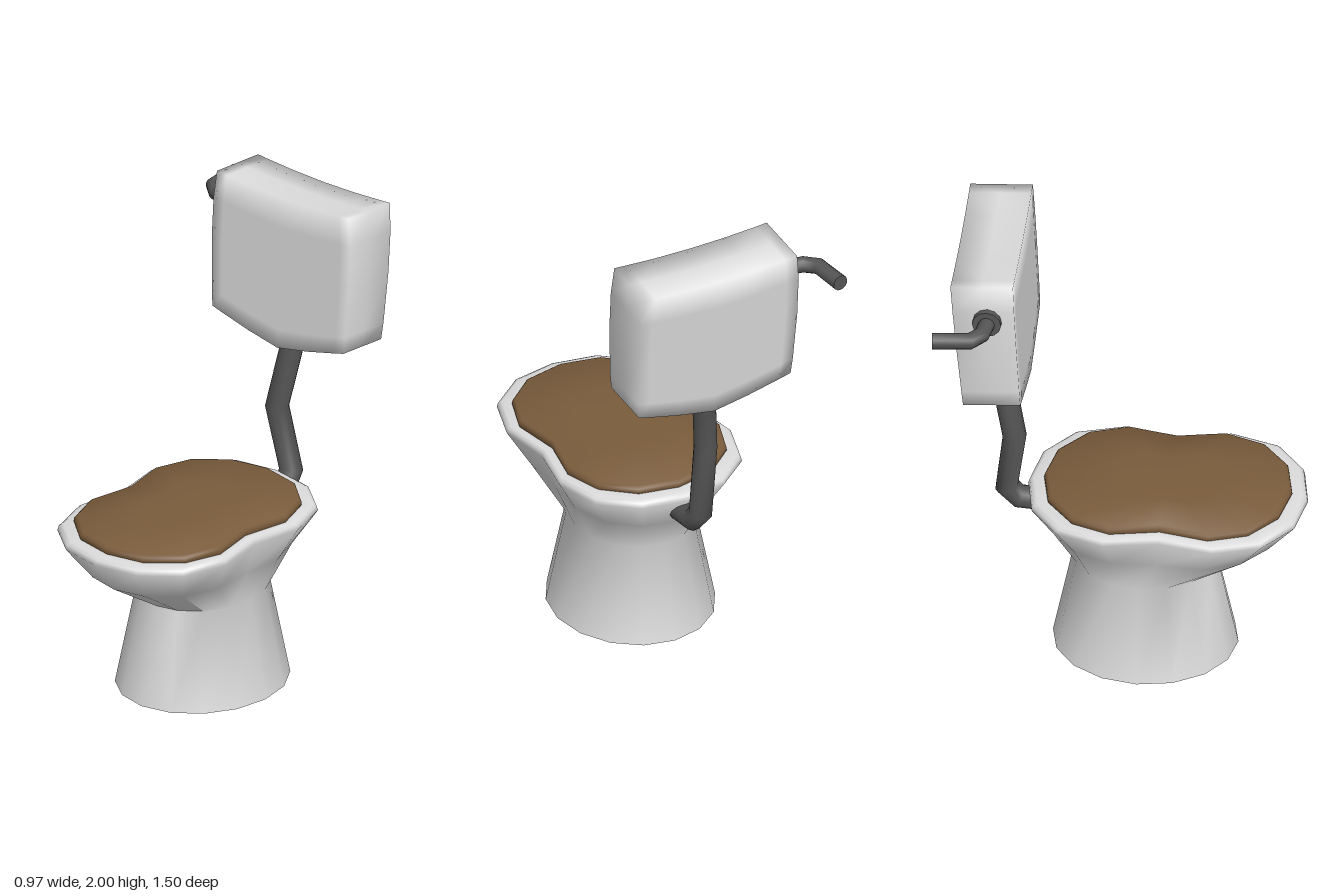
import * as THREE from 'three';
import { mergeVertices, toCreasedNormals } from 'three/addons/utils/BufferGeometryUtils.js';

// Skins a stack of equal-length rings of Vector3; rings run counter-clockwise seen from the far end
function skin(rings, capStart, capEnd) {
  const n = rings[0].length, pos = [], idx = [];
  for (const ring of rings) for (const p of ring) pos.push(p.x, p.y, p.z);
  for (let r = 0; r < rings.length - 1; r++) {
    for (let i = 0; i < n; i++) {
      const a = r * n + i, b = r * n + (i + 1) % n;
      idx.push(a, b, b + n, a, b + n, a + n);
    }
  }
  const cap = (r, flip) => {
    const c = new THREE.Vector3();
    rings[r].forEach((p) => c.addScaledVector(p, 1 / n));
    const k = pos.length / 3;
    pos.push(c.x, c.y, c.z);
    for (let i = 0; i < n; i++) {
      const a = r * n + i, b = r * n + (i + 1) % n;
      idx.push(k, flip ? b : a, flip ? a : b);
    }
  };
  if (capStart) cap(0, true);
  if (capEnd) cap(rings.length - 1, false);
  const geo = new THREE.BufferGeometry();
  geo.setAttribute('position', new THREE.Float32BufferAttribute(pos, 3));
  geo.setIndex(idx);
  return geo;
}

// Pipe with mitred bends through the given points
function pipe(points, radius, sides = 12) {
  const pts = points.map((p) => new THREE.Vector3(...p));
  const dirs = pts.slice(1).map((p, i) => p.clone().sub(pts[i]).normalize());
  const side = new THREE.Vector3(0.3, 0.1, 1);
  const rings = pts.map((p, i) => {
    const d0 = dirs[Math.max(i - 1, 0)], d1 = dirs[Math.min(i, dirs.length - 1)];
    const t = d0.clone().add(d1).normalize();
    side.addScaledVector(t, -side.dot(t)).normalize();
    const up = t.clone().cross(side);
    return Array.from({ length: sides }, (_, k) => {
      const a = (k / sides) * Math.PI * 2;
      return p.clone().addScaledVector(side, Math.cos(a) * radius).addScaledVector(up, Math.sin(a) * radius);
    });
  });
  return toCreasedNormals(skin(rings, true, true), 1.1);
}

// Waisted 16-point outline: one quarter, mirrored to the rest
const BOWL = [[0, 0.575], [0.19, 0.54], [0.34, 0.42], [0.40, 0.225], [0.36, 0]];
const SEAT = [[0, 0.51], [0.17, 0.475], [0.30, 0.365], [0.355, 0.205], [0.315, 0]];
const CX = 0.08, CZ = 0.165;
function waisted(quarter, i) {
  const q = i % 8, j = q <= 4 ? q : 8 - q;
  const sx = i <= 8 ? 1 : -1, sz = i <= 4 || i >= 12 ? 1 : -1;
  return [quarter[j][0] * sx, quarter[j][1] * sz];
}
function outline(y, quarter, scale) {
  return Array.from({ length: 16 }, (_, i) => {
    const [x, z] = waisted(quarter, i);
    return new THREE.Vector3(CX + x * scale, y, CZ + z * scale);
  });
}
function ellipse(y, rx, rz, cz) {
  return Array.from({ length: 16 }, (_, i) => {
    const a = (i / 16) * Math.PI * 2;
    return new THREE.Vector3(CX + Math.sin(a) * rx, y, cz + Math.cos(a) * rz);
  });
}

// Cistern: subdivided box with bowed sides, V-shaped bottom and a backward lean
function cisternGeometry() {
  const geo = new THREE.BoxGeometry(6, 4, 2, 6, 4, 2);
  geo.deleteAttribute('uv');
  geo.deleteAttribute('normal');
  const cols = [0, 0.45, 0.85, 1], rows = [0, 0.12, 0.5, 0.8, 1];
  const widths = [0.355, 0.362, 0.372, 0.37, 0.357];
  const p = geo.attributes.position;
  for (let i = 0; i < p.count; i++) {
    const ix = Math.round(p.getX(i)), iy = Math.round(p.getY(i)) + 2;
    const u = cols[Math.abs(ix)] * Math.sign(ix), t = rows[iy], w = (1 - p.getZ(i)) / 2;
    const bottom = 1.32 + 0.08 * Math.abs(u) ** 1.2, top = 1.985 + 0.015 * u * u;
    const y = THREE.MathUtils.lerp(bottom, top, t) - 0.017 * w;
    const lean = (y - 1.31) / 0.69;
    const front = -0.4 - 0.035 * lean, back = -0.635 - 0.06 * lean;
    p.setXYZ(i, 0.077 + u * widths[iy], y, THREE.MathUtils.lerp(front, back, w));
  }
  const merged = mergeVertices(geo);
  merged.computeVertexNormals();
  return merged;
}

export function createModel() {
  const group = new THREE.Group();
  const material = (name, color, side = THREE.FrontSide) => {
    const m = new THREE.MeshStandardMaterial({ color, side });
    m.name = name;
    return m;
  };
  const porcelain = material('porcelain white', 0xdcdcdc, THREE.DoubleSide);
  const wood = material('wood brown', 0x7a5c3c);
  const metal = material('pipe grey', 0x555555);
  const add = (name, geo, mat) => {
    const mesh = new THREE.Mesh(geo, mat);
    mesh.name = name;
    group.add(mesh);
    return mesh;
  };

  // Pedestal flowing into the bowl, then the rolled rim
  const neck = ellipse(0.425, 0.26, 0.297, 0.07);
  const belly = outline(0.59, BOWL, 1).map((p, i) => {
    const e = ellipse(0.59, 0.325, 0.475, 0.152)[i];
    p.set(CX + (p.x - CX) * 0.82, 0.59, 0.152 + (p.z - CZ) * 0.825);
    return p.lerp(e, 0.4);
  });
  const bowl = skin([
    ellipse(0, 0.342, 0.383, 0.072), neck, belly,
    outline(0.74, BOWL, 1.005), outline(0.76, BOWL, 0.995),
    outline(0.77, BOWL, 0.965), outline(0.766, BOWL, 0.85),
  ]);
  add('bowl', toCreasedNormals(bowl, 1.1), porcelain);

  // Closed seat lid, slightly domed
  const lid = skin([
    outline(0.762, SEAT, 0.99), outline(0.775, SEAT, 1.005),
    outline(0.79, SEAT, 1), outline(0.8, SEAT, 0.975), outline(0.814, SEAT, 0.45),
  ], true, true);
  add('seatLid', toCreasedNormals(lid, 1), wood);

  // Tank and the pipe that feeds the bowl
  add('cistern', cisternGeometry(), porcelain);
  add('downPipe', pipe([
    [0.068, 1.36, -0.53], [0.022, 1.02, -0.463], [0.066, 0.73, -0.5],
    [0.074, 0.672, -0.45], [0.08, 0.66, -0.3],
  ], 0.05), metal);

  // Water supply at the side of the tank
  add('supplyPipe', pipe([
    [-0.28, 1.83, -0.535], [-0.385, 1.83, -0.552], [-0.435, 1.83, -0.595], [-0.452, 1.83, -0.75],
  ], 0.034), metal);
  const flange = add('supplyFlange', new THREE.CylinderGeometry(0.06, 0.06, 0.03, 12), metal);
  flange.rotation.z = Math.PI / 2;
  flange.position.set(-0.302, 1.83, -0.54);
  return group;
}
